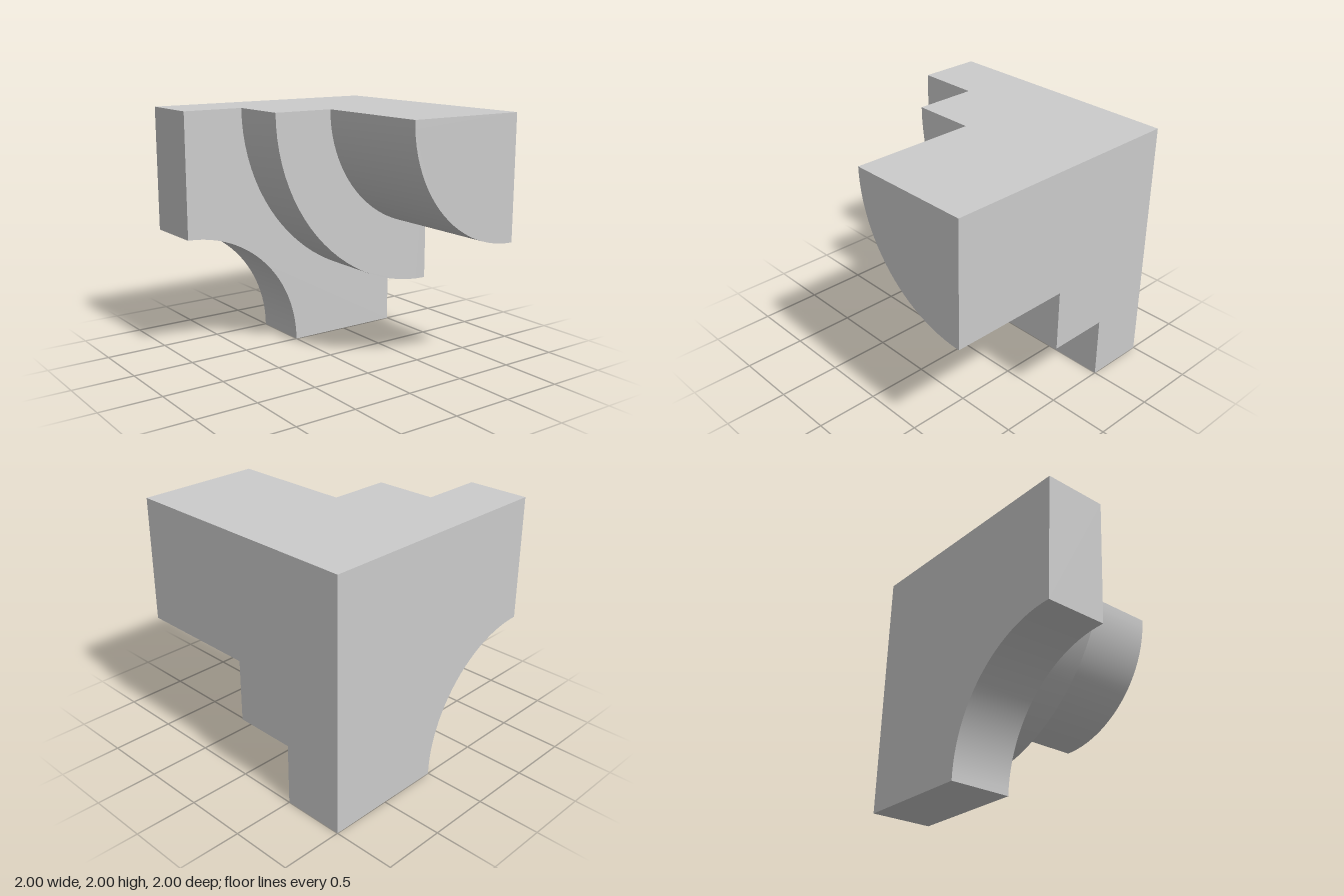
import * as THREE from 'three';
import { toCreasedNormals } from 'three/addons/utils/BufferGeometryUtils.js';

const material = new THREE.MeshStandardMaterial({ color: 0xcccccc });

// Extrude an outline from zBack to zFront, smooth on the curves and sharp on the edges
function slab(name, shape, zBack, zFront) {
  const geometry = new THREE.ExtrudeGeometry(shape, {
    depth: zFront - zBack, bevelEnabled: false, curveSegments: 12,
  });
  geometry.translate(0, 0, zBack);
  const mesh = new THREE.Mesh(toCreasedNormals(geometry, 0.5), material);
  mesh.name = name;
  return mesh;
}

// Quarter disc around the top left corner (1, 2)
function quarterDisc(radius) {
  const shape = new THREE.Shape();
  shape.moveTo(1, 2);
  shape.lineTo(1 - radius, 2);
  shape.absarc(1, 2, radius, Math.PI, Math.PI * 1.5, false);
  shape.closePath();
  return shape;
}

export function createModel() {
  const group = new THREE.Group();
  group.name = 'steppedCornerBlock';

  // Square back plate with a quarter circle cut from its lower right corner
  const plate = new THREE.Shape();
  plate.moveTo(0, 0);
  plate.lineTo(1, 0);
  plate.lineTo(1, 2);
  plate.lineTo(-1, 2);
  plate.lineTo(-1, 1);
  plate.absarc(-1, 0, 1, Math.PI / 2, 0, true);
  group.add(slab('backPlate', plate, -1, -0.5));

  // Two quarter-round steps of shrinking radius
  group.add(slab('middleStep', quarterDisc(1.5), -0.5, 0));
  group.add(slab('frontStep', quarterDisc(1), 0, 1));
  return group;
}
